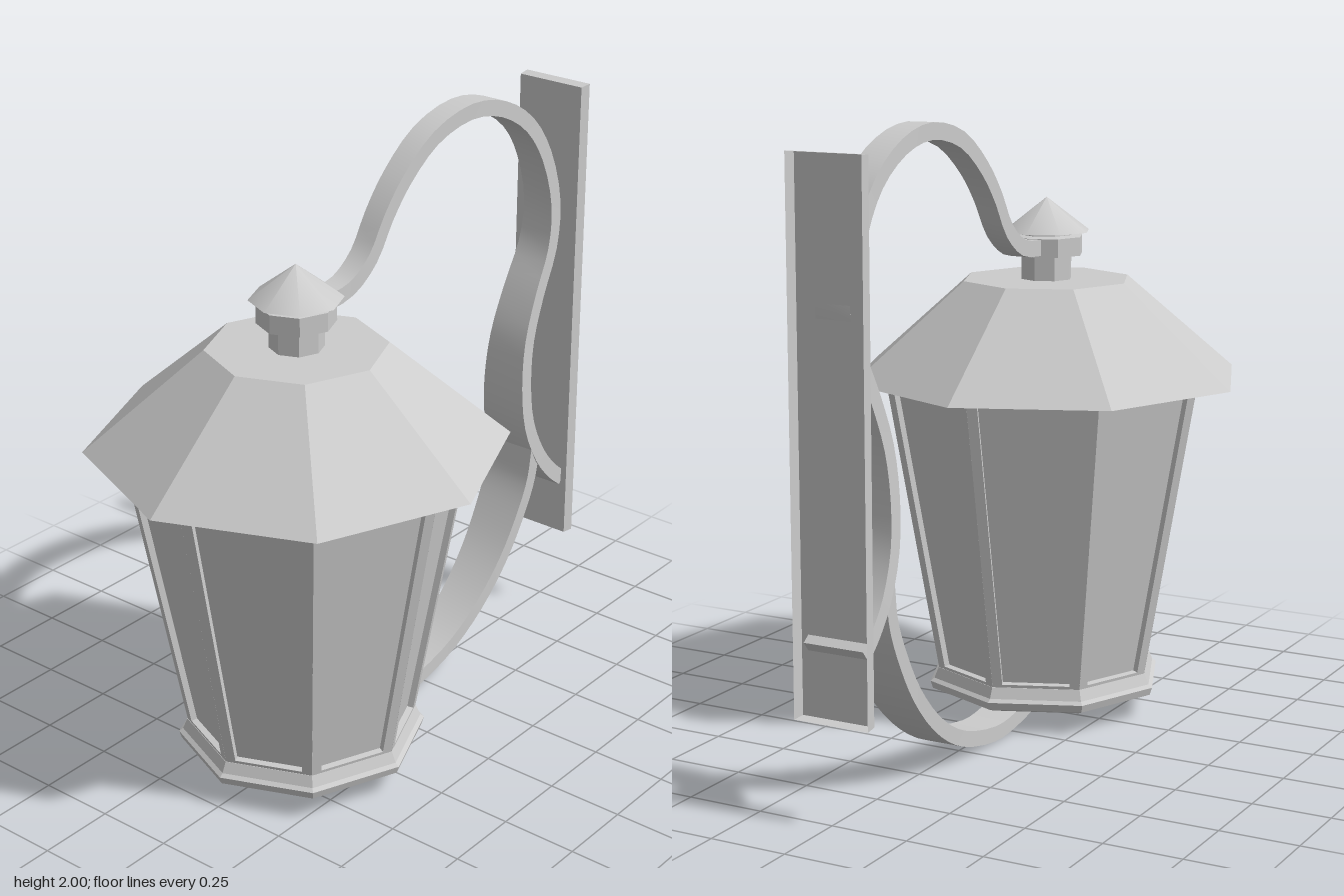
import * as THREE from 'three';
import { toCreasedNormals } from 'three/addons/utils/BufferGeometryUtils.js';

const AXIS_Z = 0.34; // lantern centre line
const flat = new THREE.MeshStandardMaterial({ color: 0xcccccc, flatShading: true, side: THREE.DoubleSide });
const smooth = new THREE.MeshStandardMaterial({ color: 0xcccccc, side: THREE.DoubleSide });

function add(parent, name, geometry, material = flat) {
  const mesh = new THREE.Mesh(geometry, material);
  mesh.name = name;
  parent.add(mesh);
  return mesh;
}

// Eight-sided turned part from [radius, height] pairs, listed bottom to top
function octagon(profile) {
  return new THREE.LatheGeometry(profile.map(([r, y]) => new THREE.Vector2(r, y)), 8);
}

// Trapezoid outline in the plane of one lantern side
function trapezoid(Type, y0, y1, halfWidth, inset) {
  const a = halfWidth(y0) - inset, b = halfWidth(y1) - inset;
  return new Type([[-a, y0], [a, y0], [b, y1], [-b, y1]].map(([x, y]) => new THREE.Vector2(x, y)));
}

// Flat iron strap swept along [z, y, halfWidth] points
function strap(points, steps, thickness) {
  const curve = new THREE.CatmullRomCurve3(points.map(([z, y, w]) => new THREE.Vector3(w, y, z)));
  const positions = [], index = [];
  for (let i = 0; i <= steps; i++) {
    const p = curve.getPoint(i / steps), t = curve.getTangent(i / steps);
    const len = Math.hypot(t.y, t.z);
    const ny = (t.z / len) * thickness / 2, nz = (-t.y / len) * thickness / 2;
    for (const [sx, sn] of [[-1, -1], [1, -1], [1, 1], [-1, 1]]) {
      positions.push(sx * p.x, p.y + sn * ny, p.z + sn * nz);
    }
    if (i === steps) continue;
    for (let k = 0; k < 4; k++) {
      const a = i * 4 + k, b = i * 4 + (k + 1) % 4;
      index.push(a, b, a + 4, b, b + 4, a + 4);
    }
  }
  const e = steps * 4;
  index.push(0, 2, 1, 0, 3, 2, e, e + 1, e + 2, e, e + 2, e + 3);
  const geometry = new THREE.BufferGeometry();
  geometry.setAttribute('position', new THREE.Float32BufferAttribute(positions, 3));
  geometry.setIndex(index);
  return toCreasedNormals(geometry, 0.6);
}

export function createModel() {
  const model = new THREE.Group();
  model.name = 'wallLantern';
  const lantern = new THREE.Group();
  lantern.name = 'lantern';
  lantern.position.z = AXIS_Z;
  model.add(lantern);

  // Roof and moulded base
  add(lantern, 'roof', octagon([[0.5, 1.155], [0.62, 1.15], [0.656, 1.12], [0.28, 1.44], [0, 1.44]]));
  add(lantern, 'base', octagon([[0, 0.05], [0.2, 0.052], [0.365, 0.07], [0.39, 0.08], [0.398, 0.105],
    [0.385, 0.115], [0.37, 0.15], [0.33, 0.15], [0, 0.15]]));

  // Neck, collar and pointed cap
  add(lantern, 'neck', octagon([[0.085, 1.43], [0.085, 1.53]]));
  add(lantern, 'collar', octagon([[0.08, 1.515], [0.122, 1.52], [0.122, 1.58], [0.09, 1.585], [0.09, 1.6]]));
  const cap = add(lantern, 'cap', new THREE.ConeGeometry(0.145, 0.11, 8), smooth);
  cap.position.y = 1.65;

  // Eight leaning sides, each a frame with a recessed pane
  const slope = 0.1636, bottom = 0.13, top = 1.155;
  const length = (top - bottom) * Math.hypot(1, slope);
  const halfWidth = y => THREE.MathUtils.lerp(0.14, 0.209, y / length);
  const frameShape = trapezoid(THREE.Shape, 0, length, halfWidth, 0);
  frameShape.holes.push(trapezoid(THREE.Path, 0.03, length - 0.035, halfWidth, 0.033));
  const frameGeometry = new THREE.ExtrudeGeometry(frameShape, { depth: 0.03, bevelEnabled: false });
  frameGeometry.translate(0, 0, -0.03);
  const paneGeometry = new THREE.ShapeGeometry(trapezoid(THREE.Shape, 0.02, length - 0.02, halfWidth, 0.02));
  paneGeometry.translate(0, 0, -0.02);
  for (let i = 0; i < 8; i++) {
    const turn = new THREE.Group();
    turn.name = 'lanternSide';
    turn.rotation.y = (i + 0.5) * Math.PI / 4;
    const side = new THREE.Group();
    side.name = 'leaningSide';
    side.position.set(0, bottom, 0.365 * Math.cos(Math.PI / 8));
    side.rotation.x = Math.atan(slope);
    add(side, 'frame', frameGeometry);
    add(side, 'pane', paneGeometry);
    turn.add(side);
    lantern.add(turn);
  }

  // Upper scroll from collar to wall plate
  add(model, 'upperScroll', strap([
    [0.27, 1.55, 0.035], [0.12, 1.565, 0.035], [0.02, 1.63, 0.036], [-0.055, 1.74, 0.037],
    [-0.14, 1.835, 0.038], [-0.285, 1.935, 0.04], [-0.47, 1.973, 0.042], [-0.635, 1.94, 0.045],
    [-0.78, 1.85, 0.048], [-0.875, 1.72, 0.052], [-0.932, 1.535, 0.056], [-0.913, 1.385, 0.061],
    [-0.84, 1.24, 0.066], [-0.78, 1.09, 0.072], [-0.76, 0.935, 0.079], [-0.775, 0.785, 0.086],
    [-0.835, 0.65, 0.093], [-0.905, 0.565, 0.097], [-0.965, 0.515, 0.1]], 54, 0.052), smooth);

  // Lower arm from the scroll to the underside of the base
  add(model, 'lowerArm', strap([
    [-0.81, 0.69, 0.09], [-0.79, 0.57, 0.088], [-0.735, 0.45, 0.085], [-0.64, 0.305, 0.08],
    [-0.5, 0.17, 0.073], [-0.34, 0.08, 0.067], [-0.105, 0.028, 0.062], [0.035, 0.04, 0.062],
    [0.17, 0.07, 0.062]], 27, 0.05), smooth);

  // Wall plate: shallow tray, open toward the wall, narrowing slightly at its face
  const plate = new THREE.BoxGeometry(0.25, 1.645, 0.042);
  const pos = plate.attributes.position;
  for (let i = 0; i < pos.count; i++) {
    if (pos.getZ(i) > 0) pos.setXYZ(i, pos.getX(i) * 0.97, pos.getY(i) * 0.996, pos.getZ(i));
  }
  plate.setIndex([...plate.index.array].slice(0, 30)); // drop the wall-side face
  plate.clearGroups();
  add(model, 'wallPlate', plate).position.set(0, 1.127, -0.979);

  return model;
}
